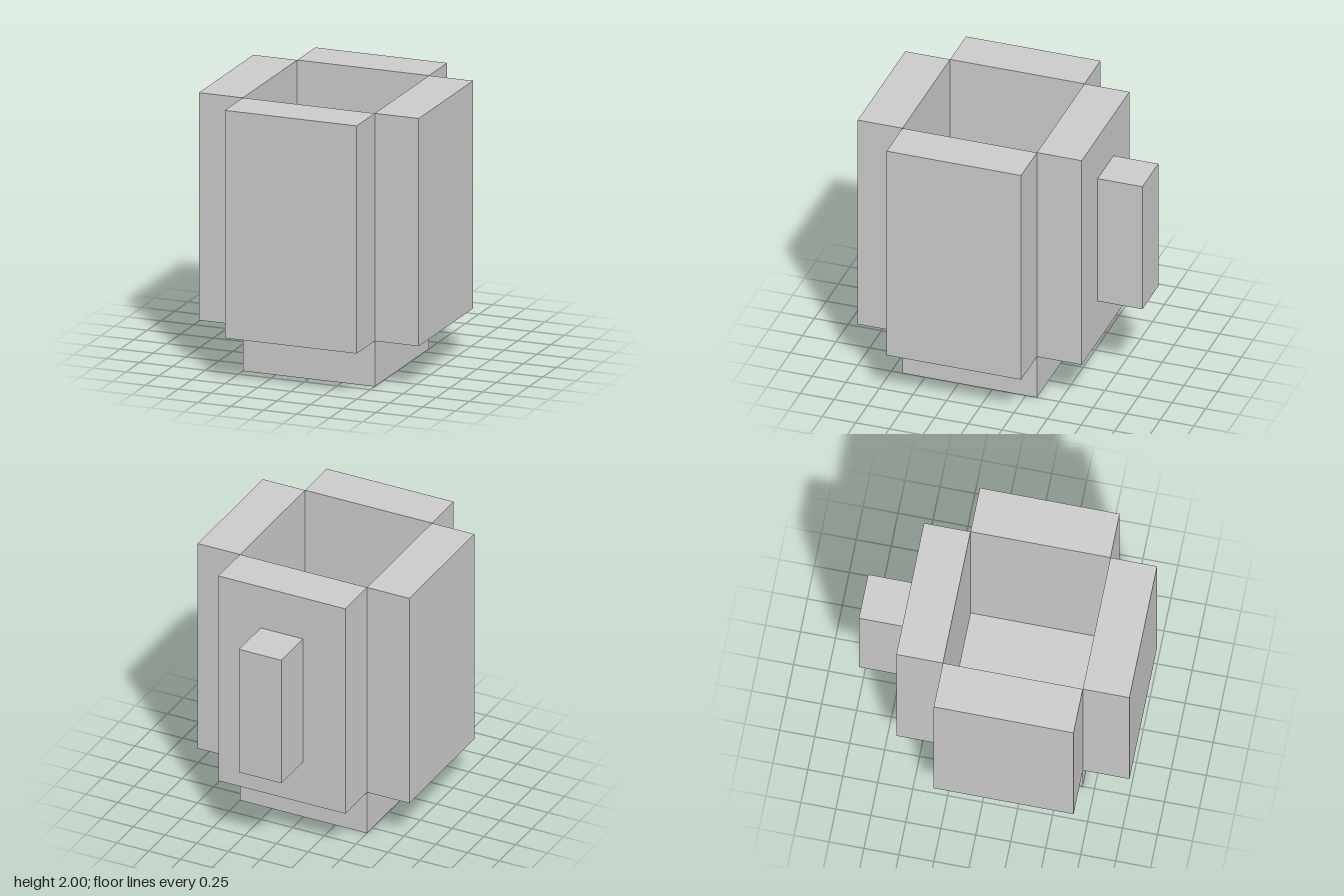
import * as THREE from 'three';

const U = 1 / 3; // one block unit

export function createModel() {
  const group = new THREE.Group();
  const material = new THREE.MeshStandardMaterial({ color: 0xcccccc, flatShading: true });

  // Box given by its size and centre, both in block units
  function block(name, [w, h, d], [x, y, z]) {
    const mesh = new THREE.Mesh(new THREE.BoxGeometry(w * U, h * U, d * U), material);
    mesh.position.set(x, y, z).multiplyScalar(U);
    mesh.name = name;
    group.add(mesh);
  }

  // Floor slab under the hollow
  block('base', [3, 1, 3], [0, 0.5, 0.5]);

  // Four walls meeting only at their edges, leaving notched corners
  block('frontWall', [3, 5, 1], [0, 3.5, 2.5]);
  block('backWall', [3, 5, 1], [0, 3.5, -1.5]);
  block('leftWall', [1, 5, 3], [2, 3.5, 0.5]);
  block('rightWall', [1, 5, 3], [-2, 3.5, 0.5]);

  // Solid grip on the back wall
  block('handle', [1, 3, 1], [0, 3.5, -2.5]);

  return group;
}
